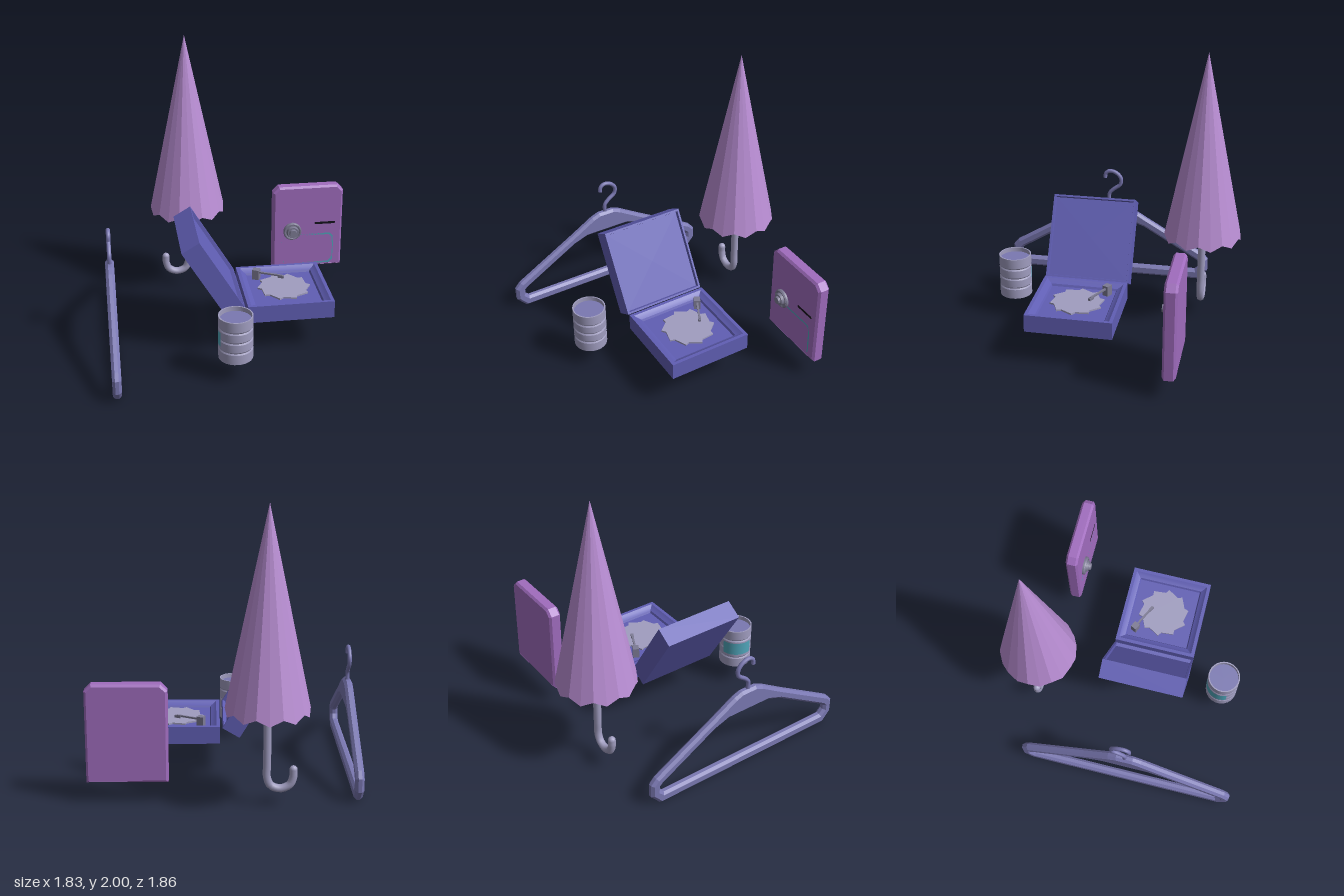
import * as THREE from 'three';
import { toCreasedNormals } from 'three/addons/utils/BufferGeometryUtils.js';

const paint = (name, color) => {
  const m = new THREE.MeshStandardMaterial({ color });
  m.name = name;
  return m;
};

export function createModel() {
  const mats = {
    lilac: paint('lilac', 0xbb8fd6),
    grey: paint('violet grey', 0xa09dc0),
    slate: paint('slate blue', 0x7a78b2),
    blue: paint('blue', 0x605eb4),
    purple: paint('purple', 0xa06cbe),
    plum: paint('plum', 0x855a9c),
    teal: paint('teal', 0x50a5ba),
    amber: paint('amber', 0xc99a66),
    black: paint('black', 0x14121c),
    steel: paint('steel', 0x7d7b94),
  };
  const root = new THREE.Group();
  const add = (parent, name, geo, mat, x = 0, y = 0, z = 0) => {
    const m = new THREE.Mesh(geo, mat);
    m.name = name;
    m.position.set(x, y, z);
    parent.add(m);
    return m;
  };
  const group = (name, x = 0, y = 0, z = 0) => {
    const g = new THREE.Group();
    g.name = name;
    g.position.set(x, y, z);
    root.add(g);
    return g;
  };
  const vec2 = (pts) => pts.map((p) => new THREE.Vector2(...p));
  const lathe = (pts, n) => toCreasedNormals(new THREE.LatheGeometry(vec2(pts), n), 0.5);
  // square tray: profile of (half width, height)
  const tray = (pts) => lathe(pts.map(([r, y]) => [r * Math.SQRT2, y]), 4).rotateY(Math.PI / 4);
  const tube = (pts, r, n = 40) => new THREE.TubeGeometry(
    new THREE.CatmullRomCurve3(pts.map((p) => new THREE.Vector3(...p))), n, r, 10);
  // bevelled slab centred on its own z, keeping the outline as drawn
  const slab = (outline, holes, thick, bevel) => {
    const s = new THREE.Shape(vec2(outline));
    holes.forEach((h) => s.holes.push(new THREE.Path(vec2(h))));
    const g = new THREE.ExtrudeGeometry(s, {
      depth: thick - 2 * bevel, bevelEnabled: bevel > 0, bevelThickness: bevel,
      bevelSize: bevel, bevelOffset: -bevel, bevelSegments: 1,
    });
    return g.translate(0, 0, bevel - thick / 2);
  };
  // rectangle with cut corners (top and bottom cuts)
  const cutRect = (x0, y0, x1, y1, top, bot = top) => {
    const p = [[x0 + bot, y0], [x1 - bot, y0], [x1, y0 + bot], [x1, y1 - top],
      [x1 - top, y1], [x0 + top, y1], [x0, y1 - top], [x0, y0 + bot]];
    return bot ? p : [[x0, y0], [x1, y0], ...p.slice(3, 7)];
  };

  // Umbrella: scalloped cone with a fluted underside
  const umbrella = group('umbrella', -0.275, 0, -0.655);
  const N = 20, verts = [];
  const rim = (i) => {
    const a = (i / N) * Math.PI * 2, low = i % 2;
    return [Math.cos(a) * 0.277, low ? 0.643 : 0.682, Math.sin(a) * 0.277];
  };
  for (let i = 0; i < N; i++) {
    verts.push(...[0, 2, 0], ...rim(i + 1), ...rim(i));
    verts.push(...[0, 0.72, 0], ...rim(i), ...rim(i + 1));
  }
  const canopy = new THREE.BufferGeometry();
  canopy.setAttribute('position', new THREE.Float32BufferAttribute(verts, 3));
  canopy.computeVertexNormals();
  add(umbrella, 'canopy', canopy, mats.lilac);
  add(umbrella, 'handle', tube([[0, 0.76, 0], [0, 0.5, 0], [0, 0.3, 0], [0, 0.2, 0], [-0.025, 0.145, 0],
    [-0.087, 0.123, 0], [-0.15, 0.15, 0], [-0.173, 0.21, 0], [-0.173, 0.255, 0]], 0.027), mats.grey);
  add(umbrella, 'handleTip', new THREE.SphereGeometry(0.027, 10, 8), mats.grey, -0.173, 0.255, 0);

  // Clothes hanger, drawn as half outlines and mirrored
  const hanger = group('hanger', -0.89, 0, 0.14);
  const mirror = (half) => [...half, ...half.slice().reverse().map(([x, y]) => [-x, y])];
  const outer = mirror([[0.72, 0.005], [0.79, 0.085], [0.79, 0.18], [0.75, 0.225],
    [0.3, 0.49], [0.12, 0.6], [0.06, 0.625]]);
  const inner = mirror([[0.69, 0.083], [0.72, 0.115], [0.72, 0.15], [0.7, 0.17],
    [0.28, 0.42], [0.17, 0.46]]);
  add(hanger, 'hangerBody', slab(outer, [inner], 0.06, 0.018), mats.slate).rotation.y = -Math.PI / 2;
  add(hanger, 'hangerHook', tube([[0, 0.6, 0], [0, 0.68, 0], [0, 0.715, -0.03], [0, 0.76, -0.085],
    [0, 0.81, -0.09], [0, 0.855, -0.05], [0, 0.866, 0], [0, 0.845, 0.03], [0, 0.81, 0.035]], 0.015), mats.slate);

  // Ribbed can with recessed ends and a coloured patch
  const can = group('can', -0.095, 0.16, 0.695);
  const wall = [[0.108, 0.02], [0.108, 0], [0.117, 0], [0.117, 0.07]];
  for (const y of [0.08, 0.155, 0.23]) wall.push([0.111, y], [0.117, y + 0.01], [0.117, y + 0.065]);
  wall.push([0.117, 0.312], [0.108, 0.312], [0.108, 0.28]);
  add(can, 'canWall', lathe(wall, 28), mats.grey);
  add(can, 'canEnds', new THREE.CylinderGeometry(0.109, 0.109, 0.26, 28), mats.slate, 0, 0.15, 0);
  add(can, 'canPatch', new THREE.CylinderGeometry(0.1185, 0.1185, 0.1, 16, 1, true,
    Math.PI * 1.02, Math.PI * 0.62), mats.teal, 0, 0.16, 0);

  // Portable record player: base tray, tilted lid, record and arm
  const player = group('recordPlayer', 0.33, 0, 0.138);
  add(player, 'playerBase', tray([[0, 0.25], [0.302, 0.25], [0.302, 0.375], [0.278, 0.375],
    [0.26, 0.36], [0.24, 0.35], [0.232, 0.335], [0, 0.335]]), mats.blue);
  const lid = new THREE.Group();
  lid.name = 'lid';
  lid.position.set(-0.32, 0.366, 0);
  lid.rotation.z = THREE.MathUtils.degToRad(31);
  player.add(lid);
  add(lid, 'lidShell', tray([[0, -0.14], [0.302, -0.14], [0.302, 0], [0.288, 0],
    [0.284, -0.025], [0, -0.025]]), mats.blue, 0, 0.3, 0).rotation.z = -Math.PI / 2;
  const teeth = [];
  for (let i = 0; i < 10; i++) {
    const a = (i / 10) * Math.PI * 2;
    teeth.push([Math.cos(a) * 0.19, Math.sin(a) * 0.19],
      [Math.cos(a + 0.12) * 0.163, Math.sin(a + 0.12) * 0.163]);
  }
  add(player, 'record', slab(teeth, [], 0.012, 0), mats.grey, 0, 0.351, 0).rotation.x = -Math.PI / 2;
  const arm = new THREE.Group();
  arm.name = 'toneArm';
  arm.position.set(-0.17, 0, -0.18);
  arm.rotation.y = -0.46;
  player.add(arm);
  add(arm, 'armBase', new THREE.BoxGeometry(0.05, 0.075, 0.045), mats.steel, 0, 0.373, 0);
  add(arm, 'armRod', new THREE.BoxGeometry(0.19, 0.012, 0.014), mats.steel, 0.1, 0.389, 0);
  add(arm, 'armHead', new THREE.BoxGeometry(0.045, 0.018, 0.02), mats.steel, 0.185, 0.382, 0);

  // Portable radio with a carrying handle
  const radio = group('radio', 0.64, 0, -0.58);
  add(radio, 'radioFrame', slab(cutRect(-0.27, 0.153, 0.27, 0.825, 0.045, 0),
    [cutRect(-0.235, 0.18, 0.235, 0.79, 0.03, 0)], 0.09, 0.015), mats.purple);
  add(radio, 'radioPanel', new THREE.BoxGeometry(0.476, 0.405, 0.076), mats.plum, 0, 0.38, 0);
  const face = 0.038;
  add(radio, 'speakerBorder', slab(cutRect(-0.2, 0.175, 0.205, 0.43, 0.03),
    [cutRect(-0.187, 0.188, 0.192, 0.417, 0.025)], 0.008, 0), mats.teal, 0, 0, face + 0.003);
  add(radio, 'speakerPlate', slab(cutRect(-0.175, 0.2, 0.18, 0.405, 0.02), [], 0.006, 0),
    mats.purple, 0, 0, face + 0.001);
  const dot = new THREE.CylinderGeometry(0.012, 0.012, 0.006, 10).rotateX(Math.PI / 2);
  for (let c = 0; c < 6; c++) {
    for (let r = 0; r < 4; r++) {
      add(radio, 'speakerDot', dot, mats.amber, -0.15 + c * 0.06, 0.222 + r * 0.052, face + 0.003);
    }
  }
  add(radio, 'dialSlotRim', slab(cutRect(0.04, 0.492, 0.23, 0.542, 0.012), [], 0.008, 0),
    mats.black, 0, 0, face + 0.002);
  add(radio, 'dialSlot', slab(cutRect(0.055, 0.508, 0.215, 0.526, 0.005), [], 0.004, 0),
    mats.black, 0, 0, face + 0.006);
  add(radio, 'knob', lathe([[0.07, 0], [0.07, 0.02], [0.064, 0.03], [0.056, 0.03], [0.053, 0.024], [0.047, 0.024],
    [0.042, 0.045], [0.03, 0.045], [0.026, 0.062], [0, 0.062]], 24).rotateX(Math.PI / 2),
  mats.steel, -0.12, 0.462, face);

  return root;
}
